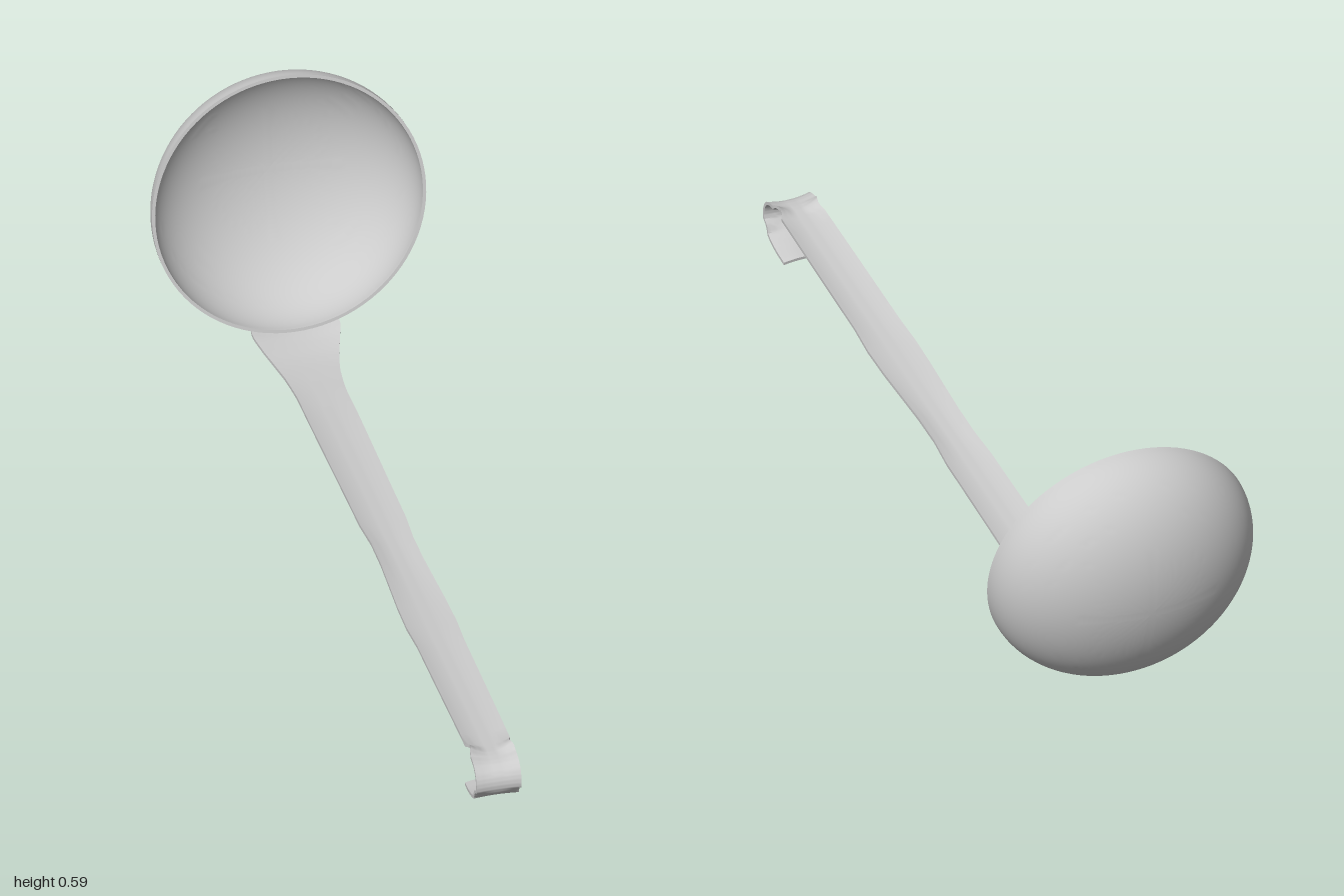
import * as THREE from 'three';
import { toCreasedNormals } from 'three/addons/utils/BufferGeometryUtils.js';

const steel = new THREE.MeshStandardMaterial({ color: 0xcccccc });

// Thin-walled half ellipsoid, opening upwards before it is tilted
function makeBowl() {
  const R = 0.293, depth = 0.19, wall = 0.007, steps = 32;
  const profile = [];
  for (let i = 0; i <= steps; i++) {
    const a = (i / steps) * Math.PI / 2;
    profile.push(new THREE.Vector2(R * Math.sin(a), -depth * Math.cos(a)));
  }
  for (let i = steps; i >= 0; i--) {
    const a = (i / steps) * Math.PI / 2;
    profile.push(new THREE.Vector2((R - wall) * Math.sin(a), -(depth - wall) * Math.cos(a)));
  }
  const geometry = toCreasedNormals(new THREE.LatheGeometry(profile, 96), 0.7);
  const bowl = new THREE.Mesh(geometry, steel);
  bowl.name = 'bowl';
  bowl.position.set(0, 0.303, -0.805);
  bowl.rotation.x = 1.379;
  return bowl;
}

// Dished strip swept from the hook tip, along the handle, to the bowl
function makeHandle() {
  // z, y, half width, rise of the edges above the middle
  const stations = [
    [0.89, 0.014, 0.046, 0.005],
    [0.935, 0.022, 0.048, 0.003],
    [0.972, 0.035, 0.048, 0.002],
    [0.993, 0.060, 0.048, 0.002],
    [0.991, 0.085, 0.048, 0.003],
    [0.975, 0.102, 0.048, 0.006],
    [0.945, 0.107, 0.048, 0.009],
    [0.90, 0.105, 0.048, 0.009],
    [0.50, 0.077, 0.050, 0.008],
    [0.00, 0.042, 0.050, 0.008],
    [-0.40, 0.014, 0.053, 0.007],
    [-0.52, 0.007, 0.053, 0.004],
    [-0.60, 0.004, 0.059, 0.002],
    [-0.66, 0.004, 0.071, 0.003],
    [-0.71, 0.008, 0.085, 0.007],
    [-0.75, 0.012, 0.094, 0.013],
    [-0.80, 0.015, 0.080, 0.012],
  ];
  const path = new THREE.CatmullRomCurve3(stations.map(([z, y]) => new THREE.Vector3(0, y, z)));
  const shape = new THREE.CatmullRomCurve3(stations.map(([, , w, s]) => new THREE.Vector3(w, s, 0)));
  const rows = (stations.length - 1) * 6, cols = 12, half = 0.0035;
  const ring = 2 * (cols + 1);
  const positions = [], index = [];

  for (let i = 0; i <= rows; i++) {
    const p = path.getPoint(i / rows), t = path.getTangent(i / rows);
    const { x: width, y: rise } = shape.getPoint(i / rows);
    for (let k = 0; k < ring; k++) {
      const top = k <= cols;
      const u = ((top ? k : ring - 1 - k) / cols) * 2 - 1;
      const offset = rise * u * u + (top ? half : -half);
      positions.push(u * width, p.y - t.z * offset, p.z + t.y * offset);
    }
  }
  for (let i = 0; i < rows; i++) {
    for (let k = 0; k < ring; k++) {
      const a = i * ring + k, b = i * ring + (k + 1) % ring;
      index.push(a, b, a + ring, b, b + ring, a + ring);
    }
  }
  // End caps
  const last = rows * ring;
  for (let k = 0; k < cols; k++) {
    const a = k, b = k + 1, c = ring - 2 - k, d = ring - 1 - k;
    index.push(a, d, b, b, d, c);
    index.push(last + a, last + b, last + d, last + b, last + c, last + d);
  }

  const geometry = new THREE.BufferGeometry();
  geometry.setAttribute('position', new THREE.Float32BufferAttribute(positions, 3));
  geometry.setIndex(index);
  const handle = new THREE.Mesh(toCreasedNormals(geometry, 0.7), steel);
  handle.name = 'hookedHandle';
  return handle;
}

export function createModel() {
  const ladle = new THREE.Group();
  ladle.name = 'ladle';
  ladle.add(makeBowl(), makeHandle());
  return ladle;
}
